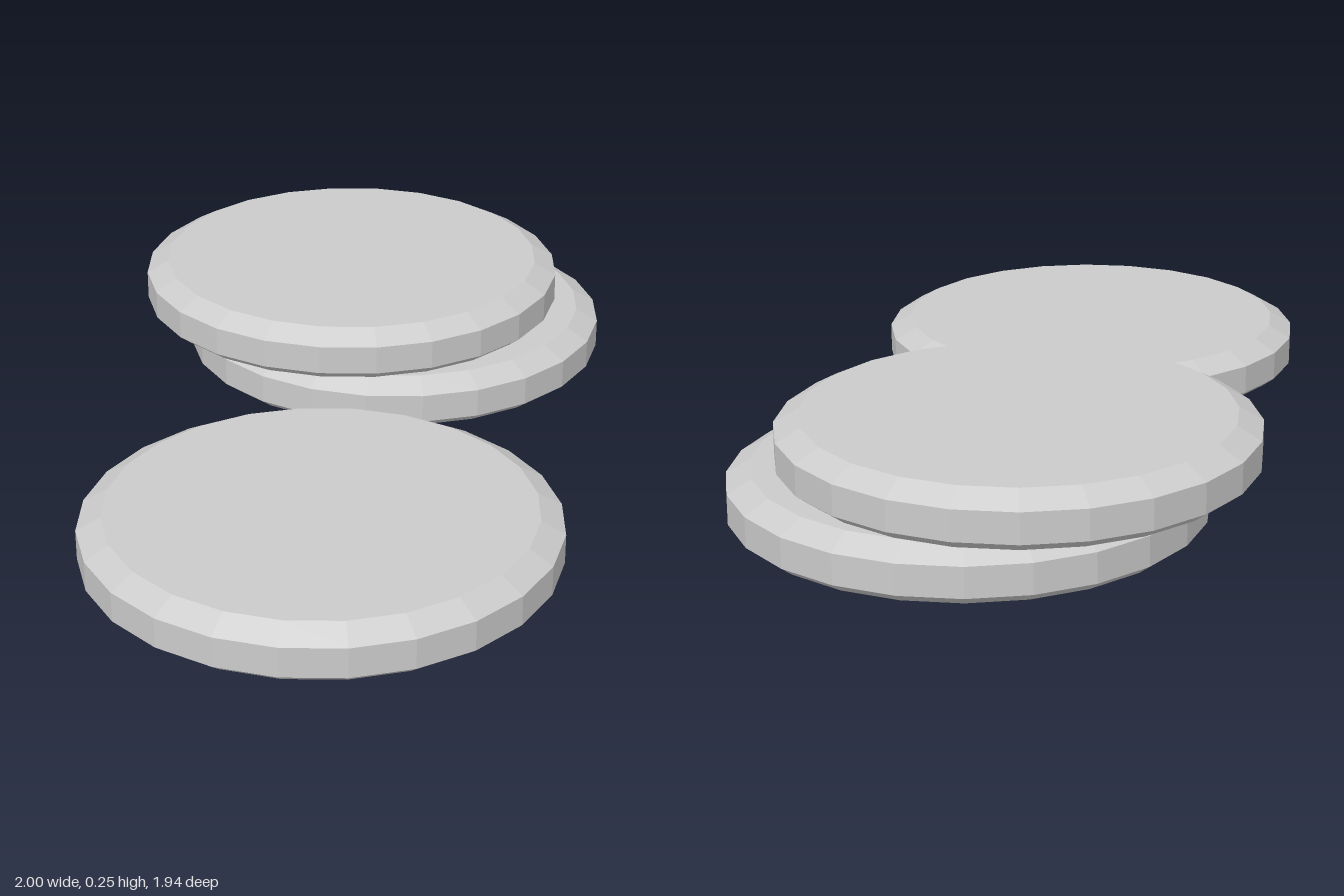
import * as THREE from 'three';

const SIDES = 24;

// Disc outline from bottom centre to top centre: small lower chamfer, wider upper one
const PROFILE = [
  [0, 0], [0.518, 0], [0.548, 0.023], [0.548, 0.094], [0.492, 0.125], [0, 0.125],
].map(([r, y]) => new THREE.Vector2(r, y));

// Name and base position of each disc
const DISCS = [
  ['looseDisc', 0.452, 0, 0.42],
  ['lowerStackedDisc', -0.374, 0, -0.42],
  ['upperStackedDisc', -0.452, 0.128, -0.334],
];

export function createModel() {
  const group = new THREE.Group();
  group.name = 'discs';
  const geometry = new THREE.LatheGeometry(PROFILE, SIDES);
  const material = new THREE.MeshStandardMaterial({ color: 0xcccccc, flatShading: true });

  for (const [name, x, y, z] of DISCS) {
    const disc = new THREE.Mesh(geometry, material);
    disc.name = name;
    disc.position.set(x, y, z);
    group.add(disc);
  }
  return group;
}
